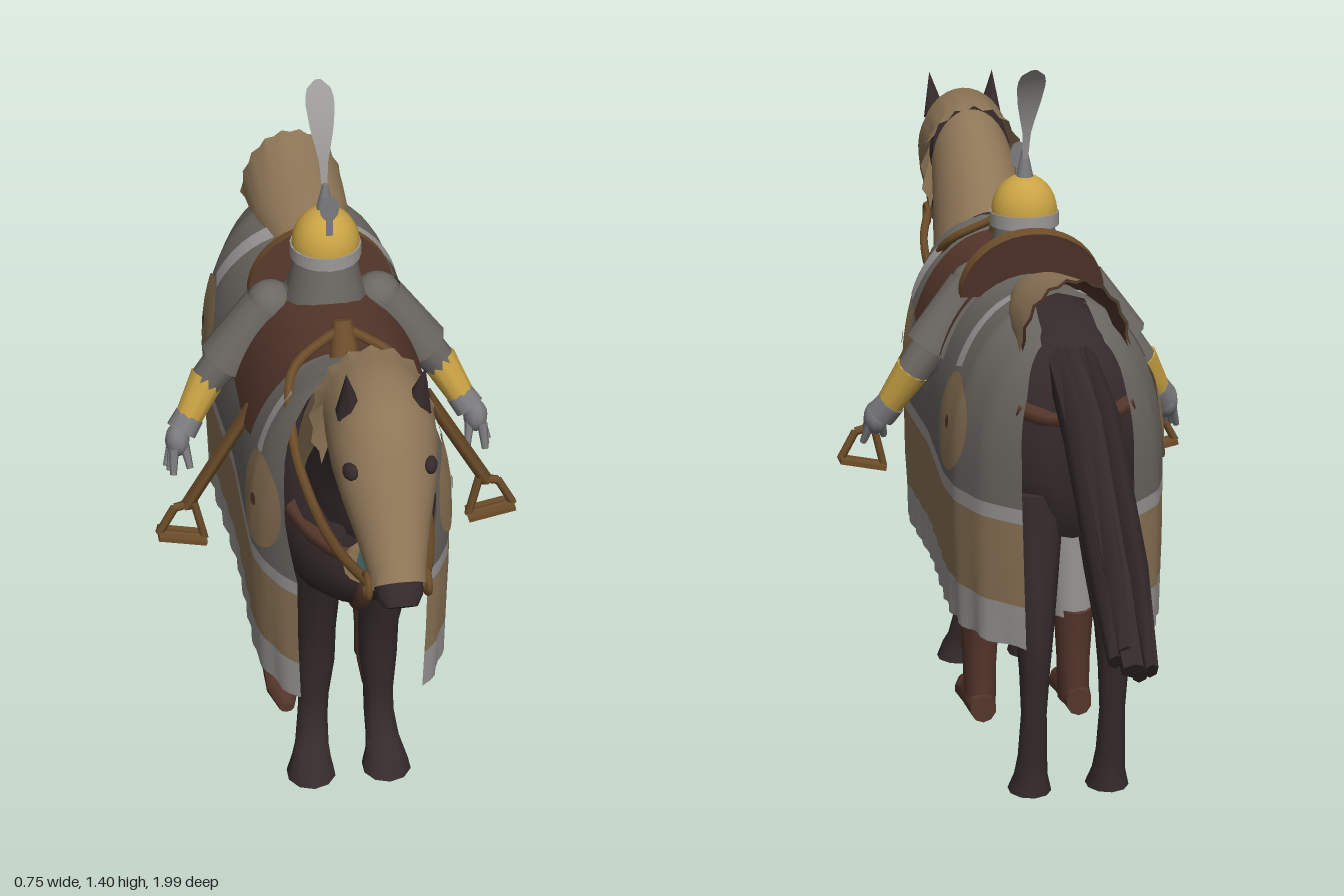
import * as THREE from 'three';
import { toCreasedNormals } from 'three/addons/utils/BufferGeometryUtils.js';

const mat = (name, color) => Object.assign(new THREE.MeshStandardMaterial({ color, side: THREE.DoubleSide }), { name });
const horseHide = mat('horse hide', 0x362b2c), tan = mat('tan cloth', 0x8e7657), grey = mat('grey cloth', 0x6c6863),
  light = mat('light cloth', 0x9c9a98), brown = mat('brown leather', 0x54362b), wood = mat('wood', 0x6e4e2a),
  gold = mat('gold', 0xcaa344), steel = mat('steel', 0x7b7b7e), teal = mat('teal tassel', 0x497471);
const V = (x, y, z) => new THREE.Vector3(x, y, z);

// Linear interpolation through [key, value] pairs
function table(rows, k) {
  if (k <= rows[0][0]) return rows[0][1];
  for (let i = 1; i < rows.length; i++) {
    const [a, p] = rows[i - 1], [b, q] = rows[i];
    if (k <= b) return p + (q - p) * (k - a) / (b - a);
  }
  return rows[rows.length - 1][1];
}

// Skin over oval sections [topZ, topY, bottomZ, bottomY, halfWidth, centreX]; arc < 1 leaves the underside open
function loft(secs, { n = 14, arc = 1, grow = 0, cx = 0, wave = 0 } = {}) {
  const pos = [], idx = [], closed = arc === 1, m = closed ? n : n + 1;
  secs.forEach(([tz, ty, bz, by, rx, x = cx], i) => {
    for (let j = 0; j < m; j++) {
      const a = (closed ? j / n * 2 : (j / n * 2 - 1) * arc) * Math.PI;
      const len = Math.hypot(tz - bz, ty - by) || 1;
      const w = i === 0 ? 1 + wave * Math.cos(j * Math.PI) : 1;
      const c = Math.cos(a) * 0.5 * w * (1 + 2 * grow / len), s = Math.sin(a) * (rx + grow) * w;
      pos.push(x + s, (ty + by) / 2 + (ty - by) * c, (tz + bz) / 2 + (tz - bz) * c);
    }
  });
  for (let i = 0; i < secs.length - 1; i++) for (let j = 0; j < n; j++) {
    const a = i * m + j, b = i * m + (j + 1) % m, c = a + m, d = b + m;
    idx.push(a, c, b, b, c, d);
  }
  if (closed) for (let j = 1; j < n - 1; j++) {
    const e = (secs.length - 1) * m;
    idx.push(0, j, j + 1, e, e + j + 1, e + j);
  }
  return finish(pos, idx);
}
function finish(pos, idx) {
  const g = new THREE.BufferGeometry();
  g.setAttribute('position', new THREE.Float32BufferAttribute(pos, 3));
  g.setIndex(idx);
  return toCreasedNormals(g, 0.8);
}
// Grid surface from a rule f(u, v) => [x, y, z]
function sheet(nu, nv, f) {
  const pos = [], idx = [];
  for (let i = 0; i <= nv; i++) for (let j = 0; j <= nu; j++) pos.push(...f(j / nu, i / nv));
  for (let i = 0; i < nv; i++) for (let j = 0; j < nu; j++) {
    const a = i * (nu + 1) + j, c = a + nu + 1;
    idx.push(a, c, a + 1, a + 1, c, c + 1);
  }
  return finish(pos, idx);
}
// Tapered rod between two points
function limb(a, b, r0, r1, n = 10, open = false) {
  const g = new THREE.CylinderGeometry(r1, r0, a.distanceTo(b), n, 1, open), d = b.clone().sub(a).normalize();
  g.applyQuaternion(new THREE.Quaternion().setFromUnitVectors(V(0, 1, 0), d));
  return g.translate((a.x + b.x) / 2, (a.y + b.y) / 2, (a.z + b.z) / 2);
}
const tube = (pts, r, n = 24) => new THREE.TubeGeometry(new THREE.CatmullRomCurve3(pts.map(p => V(...p))), n, r, 6);

// Shape of the horse cloth
const WIDTH = [[-0.49, 0.1], [-0.45, 0.14], [-0.4, 0.18], [-0.3, 0.213], [-0.2, 0.218], [-0.05, 0.208], [0.1, 0.198],
  [0.3, 0.2], [0.4, 0.2], [0.46, 0.185], [0.52, 0.155], [0.56, 0.12]];
const TOP = [[-0.48, 0.92], [-0.43, 0.955], [-0.3, 1], [-0.1, 0.985], [0.1, 0.98], [0.3, 0.985], [0.4, 1.01]];
const FRONT = [[0.33, 0.55], [0.62, 0.55], [0.8, 0.51], [0.95, 0.45], [1.02, 0.4]];
const BACK = [[0.33, -0.485], [0.7, -0.477], [0.85, -0.46], [0.95, -0.42]];
function clothX(z, y) {
  const s = Math.min(1, Math.max(0, (y - 0.62) / (table(TOP, z) - 0.62)));
  const low = Math.max(0, 0.5 - y);
  return table(WIDTH, z) * (Math.sqrt(1 - s ** 2.5) - 0.2 * low) + low * 0.02 * Math.sin(z * 75);
}
const clothZ = (u, y) => table(BACK, y) + (table(FRONT, y) - table(BACK, y)) * u;

export function createModel() {
  const root = new THREE.Group();
  const add = (name, g, m) => {
    const mesh = new THREE.Mesh(g, m);
    mesh.name = name;
    root.add(mesh);
    return mesh;
  };
  // Adds the left part and its mirror image
  const pair = (name, g, m) => {
    add(name + 'Left', g, m);
    add(name + 'Right', g, m).scale.x = -1;
  };

  // Horse
  add('horseBody', loft([[-0.475, 0.87, -0.475, 0.62, 0.06], [-0.43, 0.92, -0.43, 0.54, 0.135], [-0.3, 0.97, -0.3, 0.52, 0.19],
    [-0.1, 0.96, -0.1, 0.51, 0.185], [0.15, 0.955, 0.15, 0.51, 0.175], [0.35, 0.97, 0.35, 0.5, 0.175], [0.46, 0.95, 0.46, 0.5, 0.16],
    [0.54, 0.9, 0.54, 0.55, 0.12], [0.58, 0.8, 0.58, 0.62, 0.06]], { n: 20 }), horseHide);
  const neck = [[0.34, 0.99, 0.5, 0.62, 0.12], [0.4, 1.01, 0.57, 0.68, 0.112], [0.47, 1.065, 0.6, 0.81, 0.1],
    [0.55, 1.125, 0.64, 0.9, 0.09], [0.63, 1.175, 0.68, 0.96, 0.082], [0.7, 1.195, 0.72, 0.99, 0.075]];
  add('horseNeck', loft(neck, { n: 18 }), horseHide);
  add('neckArmour', loft(neck.slice(1), { n: 18, arc: 0.55, grow: 0.008 }), tan);
  const head = [[0.66, 1.2, 0.65, 1, 0.088], [0.76, 1.215, 0.7, 0.99, 0.094], [0.82, 1.185, 0.745, 0.97, 0.092],
    [0.87, 1.105, 0.8, 0.955, 0.08], [0.92, 1.025, 0.85, 0.915, 0.06], [0.965, 0.955, 0.9, 0.88, 0.046]];
  add('horseHead', loft([...head, [0.992, 0.915, 0.94, 0.865, 0.043], [1, 0.89, 0.965, 0.86, 0.03]], { n: 18 }), horseHide);
  add('headArmour', loft([[0.62, 1.195, 0.655, 0.92, 0.108], ...head, [0.982, 0.93, 0.925, 0.872, 0.044]],
    { n: 24, arc: 0.7, grow: 0.007, wave: 0.035 }), tan);
  const ear = new THREE.ConeGeometry(0.028, 0.1, 6).rotateX(0.2).rotateZ(-0.1).translate(0.067, 1.208, 0.775);
  pair('ear', ear, horseHide);
  const eye = new THREE.SphereGeometry(0.02, 10, 6).scale(0.5, 0.8, 1).rotateZ(0.3).rotateY(-0.5);
  pair('eye', eye.translate(0.074, 1.09, 0.85), horseHide);
  pair('foreleg', loft([[0.5, 0.66, 0.28, 0.64, 0.062, 0.075], [0.46, 0.52, 0.3, 0.5, 0.055, 0.072], [0.4, 0.37, 0.31, 0.36, 0.042, 0.065],
    [0.388, 0.28, 0.32, 0.27, 0.04, 0.065], [0.372, 0.18, 0.32, 0.18, 0.032, 0.068], [0.37, 0.12, 0.315, 0.12, 0.032, 0.07],
    [0.395, 0.065, 0.34, 0.06, 0.036, 0.075], [0.42, 0.04, 0.345, 0.035, 0.042, 0.078], [0.445, 0, 0.335, 0, 0.052, 0.08]], { n: 10 }), horseHide);
  pair('hindLeg', loft([[-0.27, 0.66, -0.465, 0.64, 0.075], [-0.35, 0.47, -0.475, 0.44, 0.052], [-0.4, 0.36, -0.485, 0.35, 0.038],
    [-0.413, 0.27, -0.475, 0.28, 0.031], [-0.415, 0.18, -0.46, 0.18, 0.026], [-0.4, 0.09, -0.447, 0.08, 0.03],
    [-0.375, 0.04, -0.44, 0.04, 0.034], [-0.34, 0, -0.445, 0, 0.044]], { n: 10, cx: 0.08 }), horseHide);

  // Tail made of overlapping strands
  [[0, 0, 0.02, 0.04], [-0.028, 0.025, 0, 0.022], [0.028, -0.015, 0.045, 0.024], [0.012, 0.015, 0.035, 0.026], [-0.015, -0.025, 0.03, 0.024]]
    .forEach(([x, dy, cut, r], i) => add('tailStrand' + (i + 1), loft([[-0.99 + cut, 0.455 + dy + cut, -0.965 + cut, 0.42 + dy + cut, r * 0.6],
      [-0.88, 0.62 + dy, -0.825, 0.545 + dy, r], [-0.62, 0.855 + dy / 2, -0.565, 0.775 + dy / 2, r * 1.15],
      [-0.42, 0.93, -0.42, 0.85, r]], { n: 6, cx: x }), horseHide));

  // Horse cloth in bands, one sheet per side
  const band = (name, y0, y1, m, jag = 0) => pair(name, sheet(56, 3, (u, v) => {
    const y = y0 + (y1 - y0) * v + jag * (1 - v) * Math.sin(u * 70), z = clothZ(u, y);
    return [clothX(z, y), y, z];
  }), m);
  band('clothHem', 0.333, 0.42, light, 0.003);
  band('clothBorder', 0.42, 0.59, tan);
  band('clothStripe', 0.59, 0.62, light);
  pair('clothUpper', sheet(56, 14, (u, v) => {
    const y = 0.62 + (table(TOP, clothZ(u, 0.85)) - 0.62) * Math.sin(v * Math.PI / 2), z = clothZ(u, y);
    return [clothX(z, y), y, z];
  }), grey);

  // Painted details that follow the cloth
  const onCloth = (name, g, m, off) => {
    const p = g.attributes.position;
    for (let i = 0; i < p.count; i++) {
      const z = p.getX(i), y = p.getY(i);
      p.setXYZ(i, clothX(z, y) + off, y, z);
    }
    g.computeVertexNormals();
    pair(name, g, m);
  };
  for (const [z, tag] of [[0.42, 'Front'], [-0.245, 'Rear']]) {
    onCloth('roundel' + tag, new THREE.RingGeometry(0.001, 0.098, 28, 5).translate(z, 0.74, 0), tan, 0.005);
    onCloth('roundelCentre' + tag, new THREE.CircleGeometry(0.013, 12).translate(z, 0.74, 0), brown, 0.009);
  }
  onCloth('slashFront', new THREE.PlaneGeometry(0.035, 0.12, 2, 8).rotateZ(0.2).translate(0.38, 0.895, 0), light, 0.007);
  onCloth('slashRear', new THREE.PlaneGeometry(0.042, 0.14, 2, 8).rotateZ(-0.25).translate(-0.21, 0.915, 0), light, 0.007);

  // Rump cover with a scalloped flare and a leather lining
  const rump = [[-0.45, 1.07, -0.445, 0.79, 0.108], [-0.4, 1.055, -0.4, 0.83, 0.106], [-0.28, 1.035, -0.28, 0.87, 0.1],
    [-0.16, 1.015, -0.16, 0.9, 0.075], [-0.05, 0.985, -0.05, 0.91, 0.045]];
  add('rumpCover', loft(rump, { n: 18, arc: 0.5, wave: 0.025 }), tan);
  add('rumpLining', loft(rump, { n: 18, arc: 0.5, wave: 0.025, grow: -0.006 }), brown);
  add('rumpStrap', tube([[-0.11, 0.815, -0.44], [-0.06, 0.8, -0.465], [0, 0.8, -0.472], [0.06, 0.8, -0.465], [0.11, 0.815, -0.44]], 0.018), brown);

  // Chest straps and disc
  add('chestStrap', tube([[-0.13, 0.775, 0.495], [-0.085, 0.735, 0.55], [0, 0.69, 0.57], [0.085, 0.735, 0.55], [0.13, 0.775, 0.495]], 0.024), brown);
  add('chestDropStrap', tube([[0, 0.67, 0.572], [0, 0.61, 0.565], [0, 0.55, 0.53], [0, 0.505, 0.46]], 0.02), brown);
  add('chestDisc', new THREE.CylinderGeometry(0.046, 0.046, 0.014, 16).rotateX(Math.PI / 2).translate(0, 0.69, 0.592), tan);

  // Saddle
  pair('saddleFlap', sheet(8, 14, (u, v) => {
    const z = -0.04 + 0.355 * u, y0 = 0.8 + 0.02 * Math.abs(2 * u - 1) ** 6, top = table(TOP, z);
    const y = y0 + (top - y0) * Math.sin(v * Math.PI / 2);
    return [clothX(z, y) + 0.012 * (1 - v ** 6), y + 0.01 * v, z];
  }), brown);
  const cantle = new THREE.CylinderGeometry(0.15, 0.15, 0.032, 20, 1, false, Math.PI / 2, Math.PI).rotateX(Math.PI / 2);
  add('saddleCantle', cantle.scale(1, 0.9, 1).rotateX(-0.2).translate(0, 0.94, -0.015), [wood, brown, brown]);
  add('saddlePommel', limb(V(0, 0.96, 0.315), V(0, 1.045, 0.275), 0.034, 0.02), wood);

  // Reins, bit and tassel
  pair('rein', tube([[0.052, 0.9, 0.935], [0.085, 0.875, 0.8], [0.108, 0.857, 0.62], [0.122, 0.895, 0.45], [0.105, 0.975, 0.33],
    [0, 1.035, 0.28]], 0.01, 32), wood);
  pair('bitRing', new THREE.TorusGeometry(0.022, 0.007, 6, 14).rotateY(Math.PI / 2).translate(0.055, 0.895, 0.935), wood);
  const tassel = [[0.006, 0.96], [0.024, 0.93], [0.052, 0.79], [0, 0.757]].map(p => new THREE.Vector2(...p)).reverse();
  add('tassel', toCreasedNormals(new THREE.LatheGeometry(tassel, 8), 0.4).translate(0, 0, 0.76), teal);

  // Stirrups on slanting straps
  const ring = [[0.295, 0.6], [0.335, 0.59], [0.368, 0.53], [0.275, 0.51]];
  pair('stirrupStrap', limb(V(0.175, 0.83, 0.23), V(0.312, 0.59, 0.22), 0.014, 0.014, 4), wood);
  ring.forEach((p, i) => {
    const q = ring[(i + 1) % 4];
    pair('stirrupBar' + (i + 1), limb(V(...p, 0.22), V(...q, 0.22), 0.009, 0.009, 6), wood);
  });
  pair('stirrupTread', new THREE.BoxGeometry(0.1, 0.01, 0.048).rotateZ(0.21).translate(0.321, 0.52, 0.22), wood);

  // Rider body and legs
  add('riderTorso', loft([[0.09, 1.0, -0.02, 1.0, 0.07], [0.105, 0.95, -0.03, 0.95, 0.11], [0.1, 0.85, -0.03, 0.85, 0.1],
    [0.11, 0.6, -0.04, 0.6, 0.12]], { n: 14 }), grey);
  pair('trouserLeg', limb(V(0.09, 0.62, 0.03), V(0.1, 0.22, 0.035), 0.065, 0.048, 12), light);
  pair('bootShaft', loft([[0.092, 0.26, -0.022, 0.23, 0.044], [0.082, 0.12, -0.012, 0.11, 0.036], [0.085, 0.03, -0.02, 0.02, 0.034]],
    { n: 12, cx: 0.102 }), brown);
  pair('bootFoot', loft([[-0.02, 0.06, -0.02, 0, 0.028], [0.06, 0.085, 0.06, 0, 0.037], [0.13, 0.048, 0.13, 0, 0.036],
    [0.195, 0.032, 0.195, 0.008, 0.016]], { n: 10, cx: 0.104 }), brown);

  // Arms
  pair('shoulderCape', limb(V(0.115, 0.945, 0.035), V(0.2, 0.815, 0.032), 0.05, 0.06, 12, true), grey);
  pair('shoulder', new THREE.SphereGeometry(0.052, 12, 8).translate(0.11, 0.943, 0.035), grey);
  pair('sleeve', limb(V(0.15, 0.89, 0.03), V(0.245, 0.765, 0.03), 0.046, 0.036), grey);
  pair('bracer', limb(V(0.24, 0.775, 0.028), V(0.286, 0.695, 0.055), 0.038, 0.029), gold);
  pair('cuff', limb(V(0.282, 0.7, 0.052), V(0.302, 0.672, 0.065), 0.031, 0.033), steel);
  pair('hand', new THREE.SphereGeometry(0.032, 10, 8).scale(0.8, 1.1, 1).translate(0.312, 0.66, 0.08), steel);
  for (let i = 0; i < 3; i++)
    pair('finger' + (i + 1), limb(V(0.322, 0.655, 0.07 + i * 0.018), V(0.338 - i * 0.006, 0.605, 0.09 + i * 0.018), 0.011, 0.007, 6), steel);
  pair('thumb', limb(V(0.3, 0.66, 0.085), V(0.29, 0.61, 0.115), 0.011, 0.007, 6), steel);

  // Helmet with spike, nose guard and feather
  add('mailCollar', new THREE.CylinderGeometry(0.06, 0.085, 0.11, 14).translate(0, 1.015, 0.05), grey);
  add('helmetBand', new THREE.CylinderGeometry(0.072, 0.072, 0.028, 18).translate(0, 1.08, 0.055), light);
  add('helmetDome', new THREE.SphereGeometry(0.069, 18, 8, 0, Math.PI * 2, 0, Math.PI / 2).scale(1, 1.15, 1).translate(0, 1.092, 0.055), gold);
  add('helmetSpike', new THREE.CylinderGeometry(0.006, 0.02, 0.065, 10).translate(0, 1.19, 0.05), steel);
  add('noseGuard', new THREE.BoxGeometry(0.014, 0.07, 0.003).translate(0, 1.155, 0.108), steel);
  add('noseGuardTip', new THREE.CircleGeometry(0.022, 12).scale(0.9, 1.3, 1).translate(0, 1.2, 0.108), steel);
  const quill = new THREE.QuadraticBezierCurve3(V(0, 1.2, 0.042), V(0, 1.33, 0.025), V(0, 1.405, -0.05));
  add('feather', sheet(2, 12, (u, v) => {
    const p = quill.getPoint(v), w = table([[0, 0.005], [0.25, 0.009], [0.55, 0.024], [0.8, 0.03], [0.93, 0.023], [1, 0.006]], v);
    return [(u * 2 - 1) * w, p.y, p.z];
  }), light);
  return root;
}
